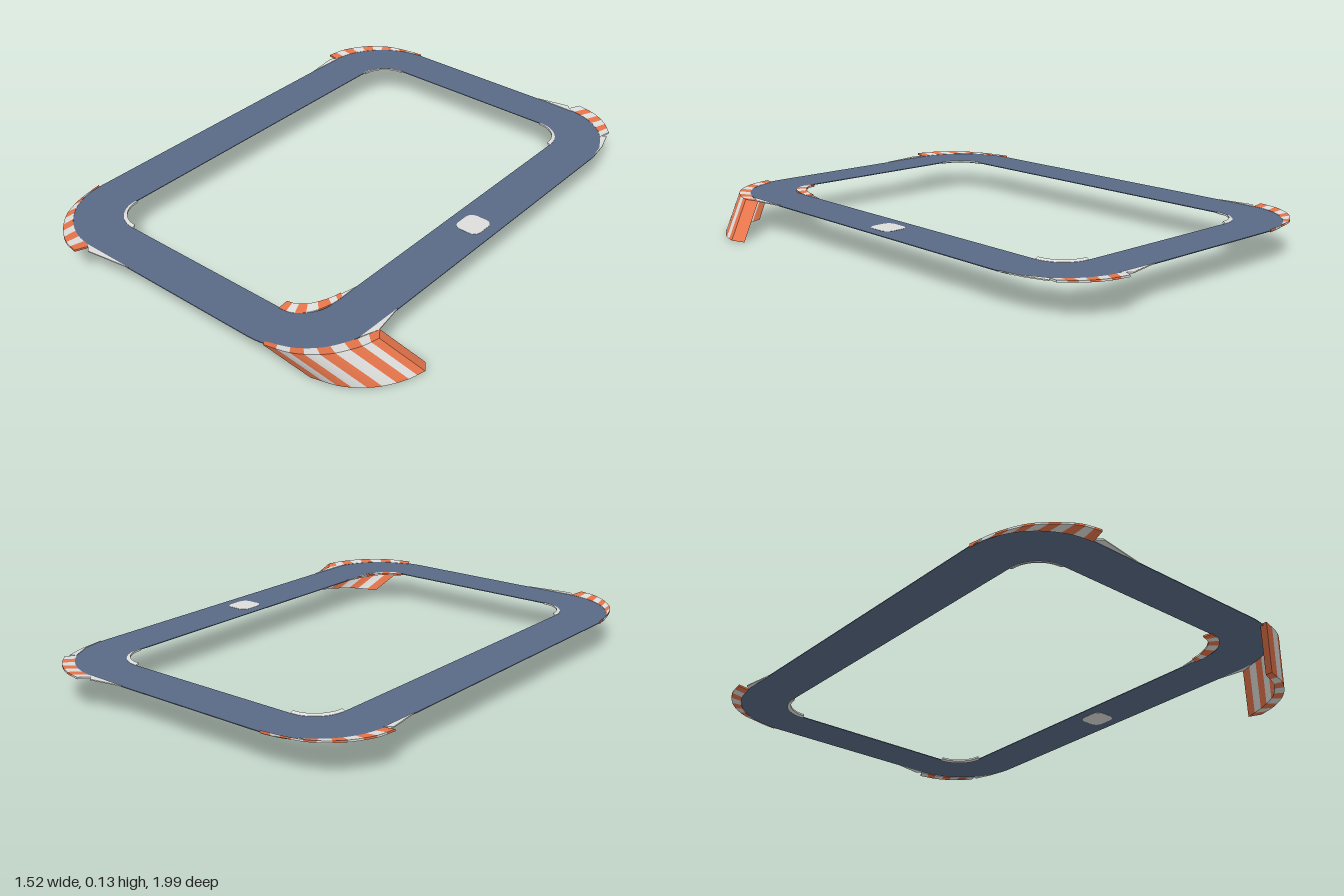
import * as THREE from 'three';

const mat = (name, color) => {
  const m = new THREE.MeshStandardMaterial({ color, side: THREE.DoubleSide });
  m.name = name;
  return m;
};

const Y = 0.12; // height of the road surface

// Rounded rectangle outline drawn in plan (x, z)
function roundedRect(target, x0, x1, z0, z1, r) {
  target.moveTo(x0 + r, z0);
  target.lineTo(x1 - r, z0);
  target.absarc(x1 - r, z0 + r, r, -Math.PI / 2, 0);
  target.lineTo(x1, z1 - r);
  target.absarc(x1 - r, z1 - r, r, 0, Math.PI / 2);
  target.lineTo(x0 + r, z1);
  target.absarc(x0 + r, z1 - r, r, Math.PI / 2, Math.PI);
  target.lineTo(x0, z0 + r);
  target.absarc(x0 + r, z0 + r, r, Math.PI, Math.PI * 1.5);
  return target;
}

// Thin horizontal slab from a plan shape, hanging down from its top height
const slab = (shape, top, depth) =>
  new THREE.ExtrudeGeometry(shape, { depth, bevelEnabled: false, curveSegments: 16 })
    .rotateX(Math.PI / 2).translate(0, top, 0);

// Quad turned so that it faces the wanted direction
function quad(out, a, b, c, d, want) {
  const n = c.clone().sub(a).cross(d.clone().sub(b));
  const p = n.dot(want) >= 0 ? [a, b, c, a, c, d] : [a, c, b, a, d, c];
  p.forEach((v) => out.push(v.x, v.y, v.z));
}

function toGeometry(list) {
  const geo = new THREE.BufferGeometry();
  geo.setAttribute('position', new THREE.Float32BufferAttribute(list, 3));
  geo.computeVertexNormals();
  return geo;
}

const curve = (pts, y) => new THREE.CatmullRomCurve3(pts.map(([x, z]) => new THREE.Vector3(x, y, z)));
const arc = (cx, cz, r, a0, a1) => Array.from({ length: 7 }, (_, i) => {
  const a = (a0 + (a1 - a0) * i / 6) * Math.PI / 180;
  return [cx + r * Math.cos(a), cz + r * Math.sin(a)];
});

// Striped solid kerb between a road-side curve and a free-edge curve, swept along "drop"
function kerb(name, roadPts, edgePts, stripes, mats, drop) {
  const group = new THREE.Group();
  group.name = name;
  const road = curve(roadPts, Y + 0.001), edge = curve(edgePts, Y + 0.006);
  const lists = [[], []], up = new THREE.Vector3(0, 1, 0), steps = 3, total = stripes * steps;
  const at = (c, i) => c.getPoint(i / total);
  const low = (v) => v.clone().add(drop);
  for (let i = 0; i < total; i++) {
    const out = lists[Math.floor(i / steps) % 2];
    const a = at(road, i), b = at(road, i + 1), c = at(edge, i + 1), d = at(edge, i);
    const away = c.clone().add(d).sub(a).sub(b).setY(0);
    quad(out, a, b, c, d, up);
    quad(out, d, c, low(c), low(d), away);
    quad(out, a, b, low(b), low(a), away.clone().negate());
    quad(out, low(a), low(b), low(c), low(d), up.clone().negate());
  }
  // End caps
  const cap = (i, j, out) => quad(out, at(road, i), at(edge, i), low(at(edge, i)), low(at(road, i)),
    at(edge, i).sub(at(edge, j)));
  cap(0, 1, lists[0]);
  cap(total, total - 1, lists[(stripes - 1) % 2]);
  lists.forEach((list, k) => {
    const mesh = new THREE.Mesh(toGeometry(list), mats[k]);
    mesh.name = k ? 'kerbEvenStripes' : 'kerbOddStripes';
    group.add(mesh);
  });
  return group;
}

export function createModel() {
  const model = new THREE.Group();
  model.name = 'raceTrack';
  const asphalt = mat('asphaltBlue', 0x596a86);
  const white = mat('kerbWhite', 0xdcdcda);
  const orange = mat('kerbOrange', 0xe5744a);
  const add = (name, geo, material) => {
    const mesh = new THREE.Mesh(geo, material);
    mesh.name = name;
    model.add(mesh);
  };

  // Road loop
  const road = roundedRect(new THREE.Shape(), -0.72, 0.59, -0.95, 0.94, 0.28);
  road.holes.push(roundedRect(new THREE.Path(), -0.54, 0.41, -0.78, 0.77, 0.12));
  add('road', slab(road, Y, 0.003), asphalt);

  // Start patch, showing on both faces of the road
  add('startPatch', slab(roundedRect(new THREE.Shape(), 0.45, 0.548, -0.068, 0.038, 0.03), Y + 0.001, 0.005), white);

  // Outer kerbs on the three flat corners
  const thin = new THREE.Vector3(0, -0.007, 0), colours = [orange, white];
  model.add(kerb('backRightKerb', arc(-0.44, -0.67, 0.28, 184, 268),
    [[-0.76, -0.69], [-0.745, -0.77], [-0.69, -0.86], [-0.61, -0.92], [-0.53, -0.942], [-0.45, -0.952]],
    11, colours, thin));
  model.add(kerb('backLeftKerb', arc(0.31, -0.67, 0.28, 270, 322),
    [[0.34, -0.998], [0.42, -0.98], [0.49, -0.94], [0.545, -0.885]], 7, [white, orange], thin));
  model.add(kerb('frontRightKerb', arc(-0.44, 0.66, 0.28, 92, 178),
    [[-0.465, 0.995], [-0.53, 0.98], [-0.6, 0.935], [-0.66, 0.87], [-0.7, 0.78], [-0.722, 0.67]],
    11, colours, thin));

  // Front left kerb, whose striped face slants down to the ground
  model.add(kerb('frontLeftKerb',
    [[0.61, 0.65], [0.58, 0.74], [0.53, 0.83], [0.46, 0.89], [0.37, 0.925]],
    [[0.64, 0.69], [0.62, 0.76], [0.565, 0.85], [0.48, 0.915], [0.38, 0.945]],
    9, colours, new THREE.Vector3(0.12, -0.126, -0.085)));

  // Inner kerbs
  model.add(kerb('frontLeftInnerKerb', [[0.29, 0.775], [0.34, 0.765], [0.385, 0.72], [0.41, 0.64], [0.412, 0.6]],
    [[0.29, 0.735], [0.325, 0.725], [0.36, 0.69], [0.388, 0.63], [0.397, 0.59]], 7, colours, thin));
  [['frontRight', -0.42, 0.65, 90], ['backRight', -0.42, -0.66, 180], ['backLeft', 0.29, -0.66, 270]]
    .forEach(([name, x, z, a]) => model.add(kerb(name + 'InnerKerb', arc(x, z, 0.122, a, a + 90),
      arc(x, z, 0.109, a, a + 90), 8, [white, white], thin)));

  // Pale tapers joining the kerb ends to the road edge
  const taper = (name, pts) =>
    add(name, slab(new THREE.Shape(pts.map(([x, z]) => new THREE.Vector2(x, z))), Y + 0.002, 0.004), white);
  taper('backRightTaper', [[-0.718, -0.53], [-0.715, -0.69], [-0.738, -0.67]]);
  taper('backLeftTaper', [[0.17, -0.949], [0.3, -0.975], [0.33, -0.945]]);
  taper('backLeftSideTaper', [[0.53, -0.845], [0.55, -0.86], [0.577, -0.78], [0.591, -0.68], [0.573, -0.765]]);
  taper('frontRightTaper', [[-0.25, 0.939], [-0.43, 0.965], [-0.46, 0.939]]);
  taper('frontLeftTaper', [[0.588, 0.53], [0.61, 0.655], [0.585, 0.72]]);
  taper('frontLeftInnerTaper', [[0.411, 0.53], [0.397, 0.595], [0.412, 0.605]]);
  return model;
}
